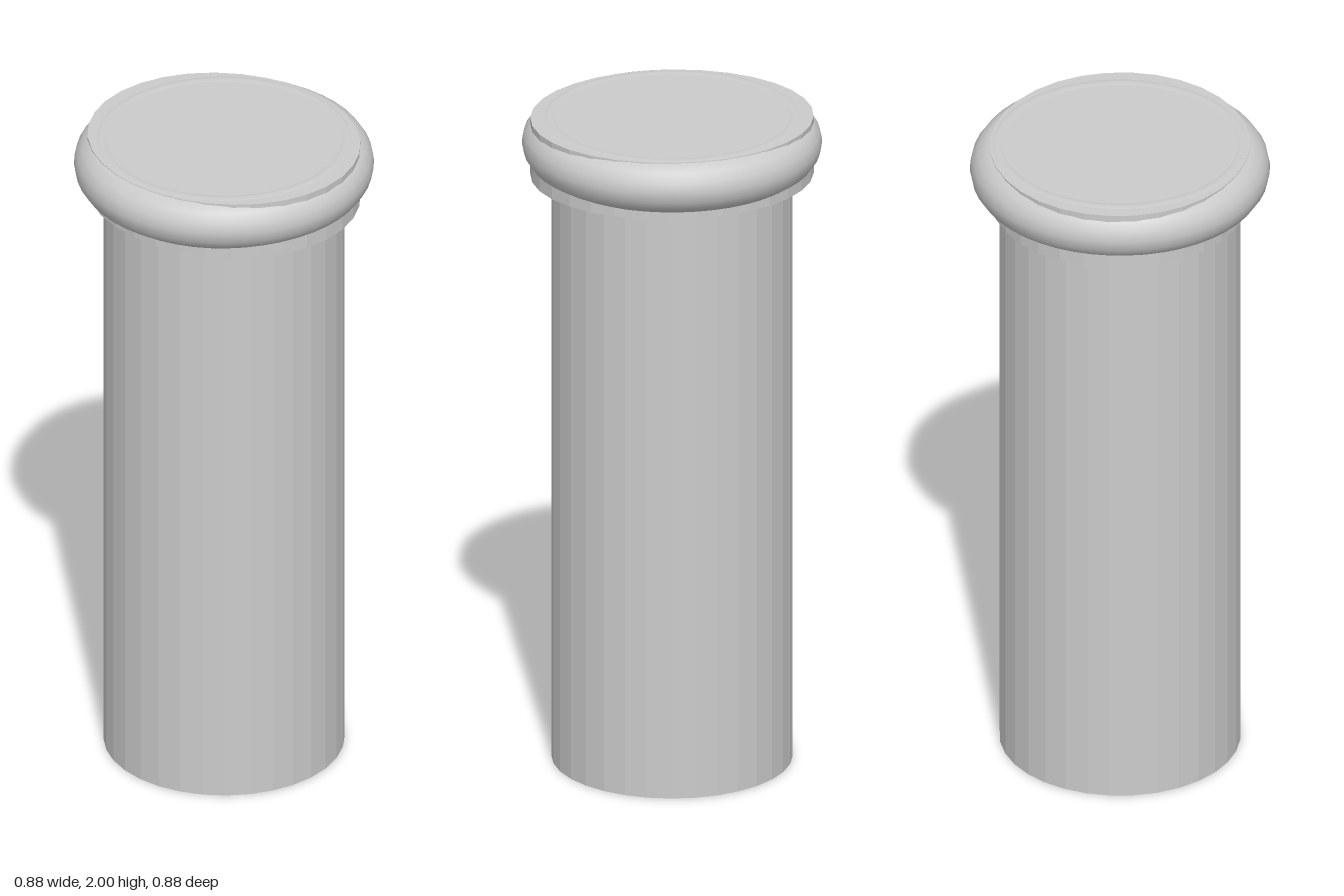
import * as THREE from 'three';

const SIDES = 32;

export function createModel() {
  const group = new THREE.Group();
  const faceted = new THREE.MeshStandardMaterial({ color: 0xcccccc, flatShading: true });
  const smooth = new THREE.MeshStandardMaterial({ color: 0xcccccc });

  function add(name, geometry, material, y) {
    const mesh = new THREE.Mesh(geometry, material);
    mesh.name = name;
    mesh.position.y = y;
    group.add(mesh);
    return mesh;
  }

  // Straight faceted shaft, running up to the underside of the cap
  add('shaft', new THREE.CylinderGeometry(0.352, 0.352, 1.84, SIDES), faceted, 0.92);

  // Slightly oval cap disc, deeper than it is wide
  const cap = add('capDisc', new THREE.CylinderGeometry(1, 1, 0.177, SIDES), faceted, 1.9085);
  cap.scale.set(0.38, 1, 0.415);

  // Round rim whose crest stands just proud of the disc top
  const rim = new THREE.TorusGeometry(0.358, 0.08, 16, 48).rotateX(Math.PI / 2);
  add('capRim', rim, smooth, 1.92);

  return group;
}
